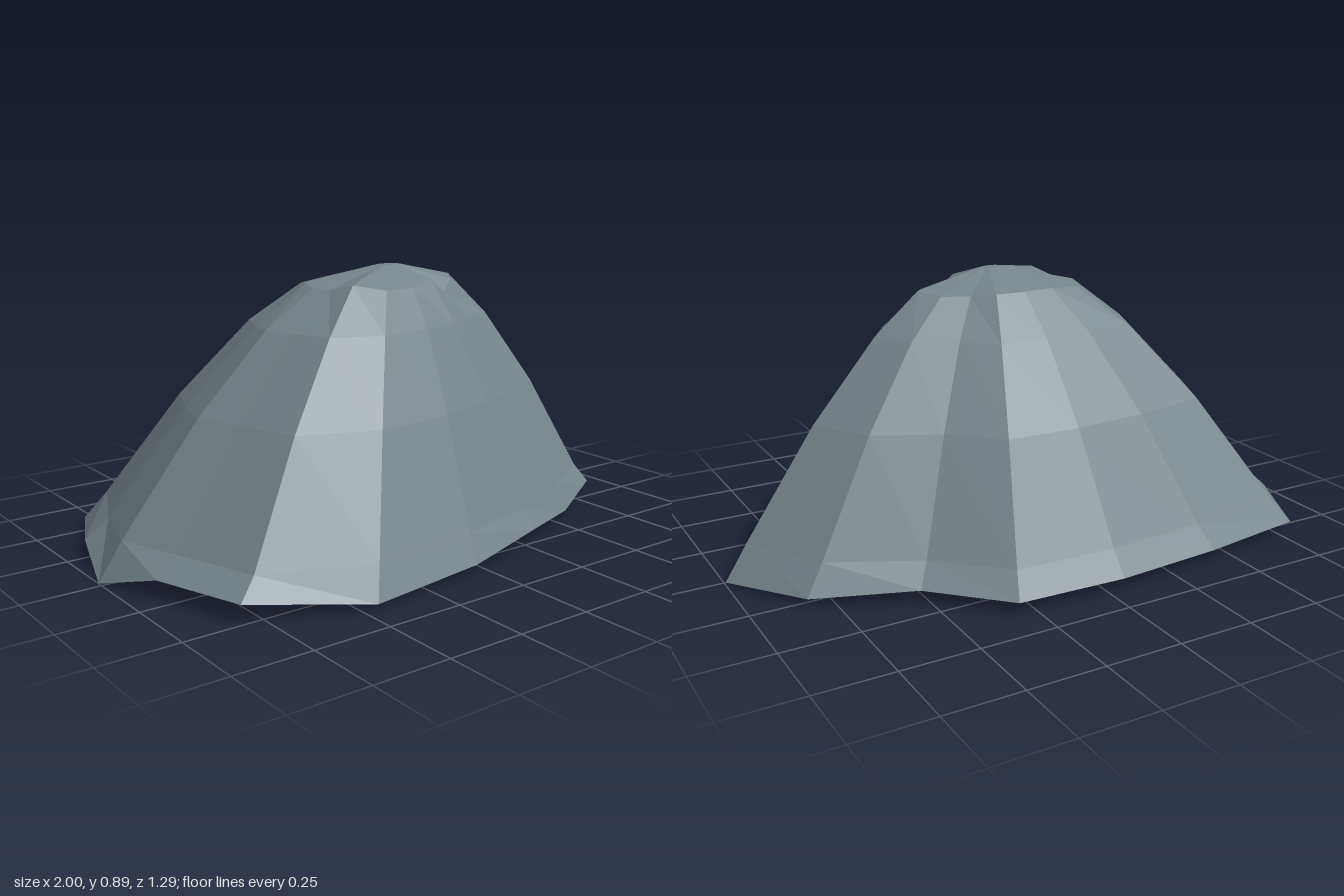
import * as THREE from 'three';

// Rim of the rock, going round from +x through +z: [x, y, z, height of the shoulder above it]
const RIM = [
  [1, 0.01, -0.02, 0.84], [0.83, 0.05, 0.23, 0.83], [0.55, 0.03, 0.39, 0.79], [0.27, 0.055, 0.52, 0.85],
  [-0.05, 0.03, 0.6, 0.83], [-0.46, 0.02, 0.645, 0.83], [-0.82, 0.06, 0.5, 0.85], [-0.92, 0.06, 0.2, 0.83],
  [-1, 0, -0.02, 0.83], [-0.93, 0.05, -0.27, 0.84], [-0.81, 0.03, -0.545, 0.83], [-0.42, 0.04, -0.62, 0.84],
  [-0.05, 0.04, -0.65, 0.84], [0.31, 0.04, -0.635, 0.84], [0.53, 0.045, -0.43, 0.83], [0.83, 0.025, -0.28, 0.83],
];
const APEX = [0.03, 0.89, 0.06];
// Rings from the rim upwards: [fraction of rim radius, height]; null heights come from RIM
const RINGS = [[1, null], [0.925, 0.12], [0.675, 0.46], [0.445, 0.71], [0.28, null], [0.04, 0.89]];

export function createModel() {
  const stone = new THREE.MeshStandardMaterial({ color: 0x77858b, side: THREE.DoubleSide, flatShading: true });
  stone.name = 'blue grey stone';

  const n = RIM.length;
  const positions = [];
  const index = [];

  // Each ring is the rim drawn in towards the apex
  RINGS.forEach(([f, height], r) => {
    for (const [x, y, z, shoulder] of RIM) {
      const h = height ?? (r === 0 ? y : shoulder);
      positions.push(APEX[0] + (x - APEX[0]) * f, h, APEX[2] + (z - APEX[2]) * f);
    }
  });
  positions.push(...APEX);

  // Sides, then the fan at the top; the underside stays open
  const last = RINGS.length - 1;
  for (let c = 0; c < n; c++) {
    const d = (c + 1) % n;
    for (let r = 0; r < last; r++) {
      const low = r * n, up = low + n;
      index.push(low + d, low + c, up + d, low + c, up + c, up + d);
    }
    index.push(last * n + d, last * n + c, n * RINGS.length);
  }

  const indexed = new THREE.BufferGeometry();
  indexed.setAttribute('position', new THREE.Float32BufferAttribute(positions, 3));
  indexed.setIndex(index);
  const geometry = indexed.toNonIndexed();
  geometry.computeVertexNormals();

  const rock = new THREE.Mesh(geometry, stone);
  rock.name = 'rockShell';
  const group = new THREE.Group();
  group.name = 'rock';
  group.add(rock);
  return group;
}
